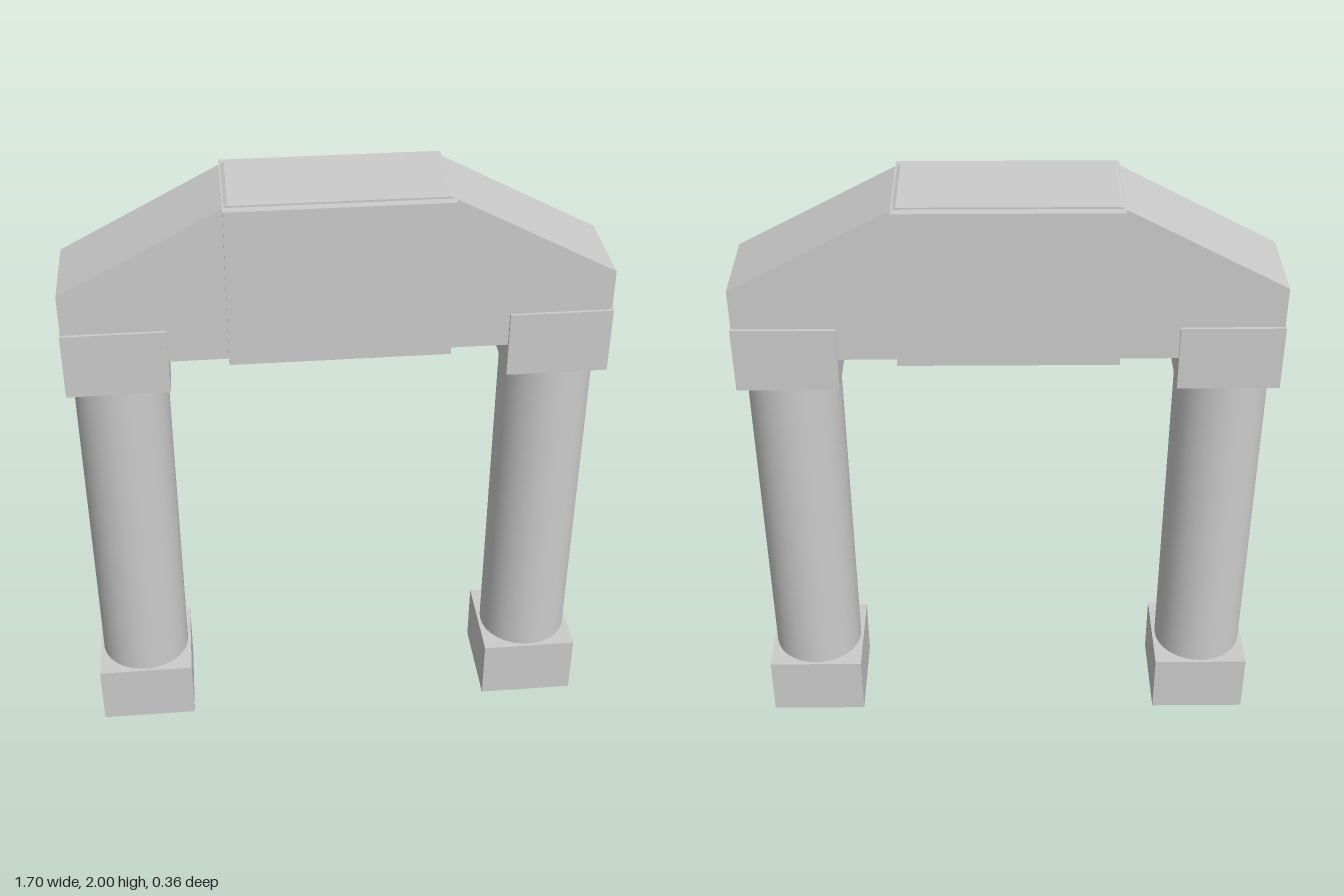
import * as THREE from 'three';

const material = new THREE.MeshStandardMaterial({ color: 0xcccccc });

function addMesh(parent, name, geometry, x, y, z) {
  const mesh = new THREE.Mesh(geometry, material);
  mesh.name = name;
  mesh.position.set(x, y, z);
  parent.add(mesh);
  return mesh;
}

// Box given by its footprint and its bottom and top heights
function addBlock(parent, name, width, depth, bottom, top) {
  const geometry = new THREE.BoxGeometry(width, top - bottom, depth);
  return addMesh(parent, name, geometry, 0, (bottom + top) / 2, 0);
}

// Round column between a square base and a square capital
function createPillar(side) {
  const pillar = new THREE.Group();
  pillar.name = side > 0 ? 'leftPillar' : 'rightPillar';
  pillar.position.x = side * 0.687;
  addBlock(pillar, 'base', 0.322, 0.322, 0, 0.215);
  addMesh(pillar, 'shaft', new THREE.CylinderGeometry(0.151, 0.151, 1.2, 32), 0, 0.8, 0);
  addBlock(pillar, 'capital', 0.322, 0.322, 1.38, 1.595);
  return pillar;
}

// Lintel with a flat crown and sloping shoulders
function createLintel() {
  const depth = 0.302;
  const profile = new THREE.Shape([
    [-0.845, 1.485], [0.845, 1.485], [0.845, 1.727],
    [0.326, 2], [-0.326, 2], [-0.845, 1.727],
  ].map(([x, y]) => new THREE.Vector2(x, y)));
  const geometry = new THREE.ExtrudeGeometry(profile, { depth, bevelEnabled: false });
  geometry.translate(0, 0, -depth / 2);
  return geometry;
}

export function createModel() {
  const arch = new THREE.Group();
  arch.name = 'arch';
  for (const side of [-1, 1]) arch.add(createPillar(side));
  addMesh(arch, 'lintel', createLintel(), 0, 0, 0);
  // Wider central block, its top just below the crown
  addBlock(arch, 'keyBlock', 0.684, 0.36, 1.48, 1.994);
  return arch;
}
